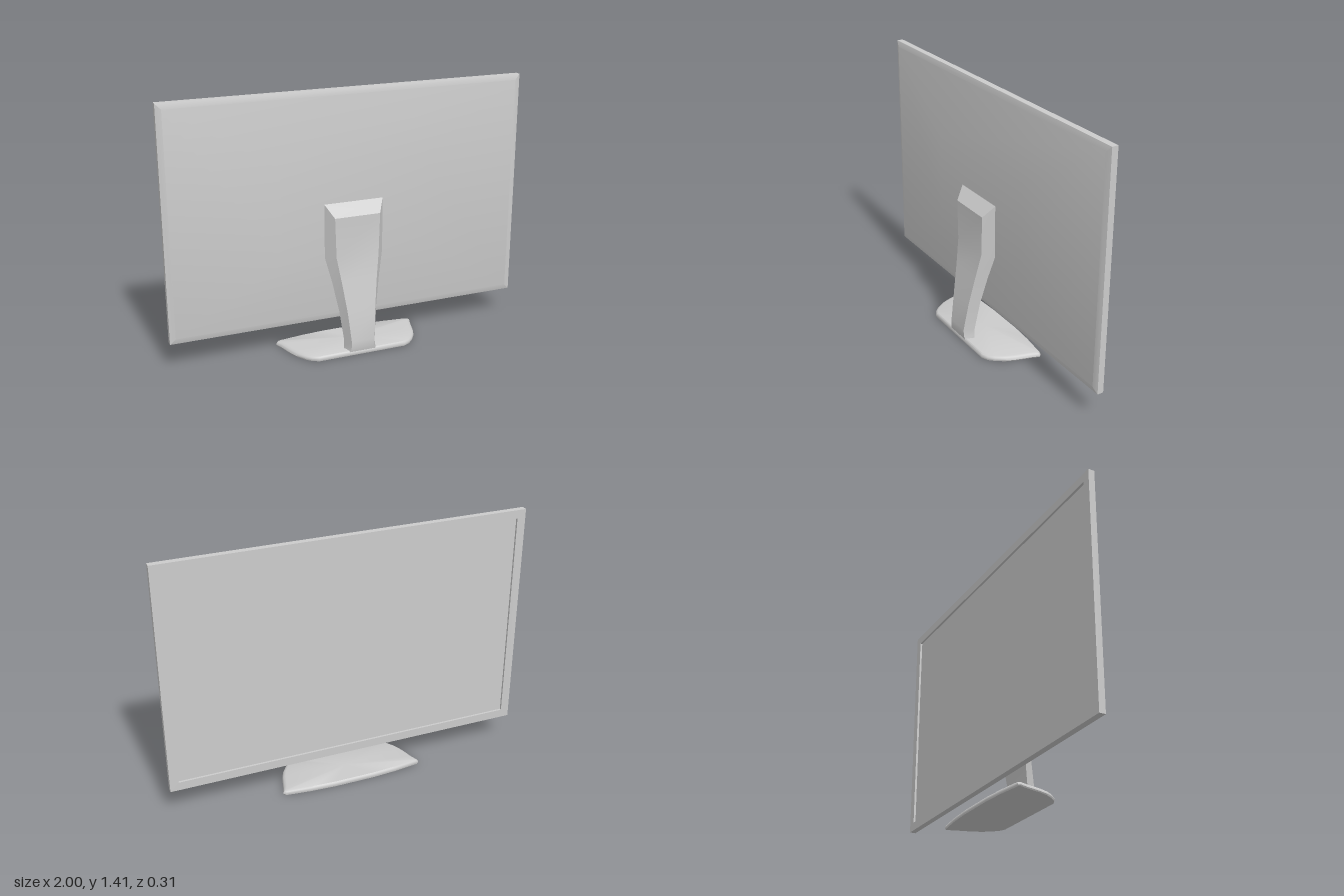
import * as THREE from 'three';
import { toCreasedNormals } from 'three/addons/utils/BufferGeometryUtils.js';

const material = new THREE.MeshStandardMaterial({ color: 0xcccccc });

// Skin through equal-length rings of [x, y, z], closed by a fan at each end.
// Rings run counter-clockwise as seen from the end of the loft.
function loft(rings, crease) {
  const n = rings[0].length;
  const positions = rings.flat(2);
  const index = [];
  for (let r = 0; r < rings.length - 1; r++) {
    for (let i = 0; i < n; i++) {
      const a = r * n + i, b = r * n + (i + 1) % n;
      index.push(a, b, b + n, a, b + n, a + n);
    }
  }
  const addCap = (r, flip) => {
    const centre = positions.length / 3;
    for (let k = 0; k < 3; k++) positions.push(rings[r].reduce((s, p) => s + p[k], 0) / n);
    for (let i = 0; i < n; i++) {
      const a = r * n + i, b = r * n + (i + 1) % n;
      index.push(centre, flip ? b : a, flip ? a : b);
    }
  };
  addCap(0, true);
  addCap(rings.length - 1, false);
  const geometry = new THREE.BufferGeometry();
  geometry.setAttribute('position', new THREE.Float32BufferAttribute(positions, 3));
  geometry.setIndex(index);
  return toCreasedNormals(geometry, crease);
}

export function createModel() {
  const model = new THREE.Group();
  const add = (name, geometry) => {
    const mesh = new THREE.Mesh(geometry, material);
    mesh.name = name;
    model.add(mesh);
    return mesh;
  };

  const bottom = 0.15, top = 1.415, midY = (bottom + top) / 2, height = top - bottom;
  const bezel = 0.047, screenSide = -0.072, shellSide = -0.038;

  // Frame around the screen
  const rect = (Type, hw, hh) => new Type([
    new THREE.Vector2(-hw, -hh), new THREE.Vector2(hw, -hh),
    new THREE.Vector2(hw, hh), new THREE.Vector2(-hw, hh)]);
  const frameShape = rect(THREE.Shape, 1, height / 2);
  frameShape.holes.push(rect(THREE.Path, 1 - bezel, height / 2 - bezel));
  add('bezel', new THREE.ExtrudeGeometry(frameShape, { depth: shellSide - screenSide, bevelEnabled: false }))
    .position.set(0, midY, screenSide);

  // Recessed display surface
  add('screen', new THREE.BoxGeometry(2 - 2 * bezel, height - 2 * bezel, 0.02))
    .position.set(0, midY, -0.05);

  // Tapered housing behind the screen: [half width, low y, high y, z]
  const housing = [
    [1, bottom, top, shellSide],
    [0.97, 0.18, 1.385, -0.029],
    [0.4, 0.53, 1.04, 0.019],
  ].map(([w, lo, hi, z]) => [[-w, lo, z], [w, lo, z], [w, hi, z], [-w, hi, z]]);
  add('housing', loft(housing, 0.4));

  // Neck: [y at rear, y at front, rear half width, front half width, rear z, front z]
  const neck = [
    [0.02, 0.02, 0.09, 0.075, 0.1, 0.15],
    [0.04, 0.04, 0.09, 0.067, 0.1, 0.154],
    [0.08, 0.08, 0.09, 0.066, 0.1, 0.155],
    [0.24, 0.24, 0.108, 0.079, 0.077, 0.13],
    [0.40, 0.40, 0.136, 0.099, 0.046, 0.1],
    [0.53, 0.54, 0.165, 0.12, 0.019, 0.075],
    [0.825, 0.76, 0.165, 0.127, 0.019, 0.075],
  ].map(([yr, yf, wr, wf, zr, zf]) => [[wf, yf, zf], [wr, yr, zr], [-wr, yr, zr], [-wf, yf, zf]]);
  add('neck', loft(neck, 0.35));

  // Foot: half outline [x, z], mirrored, with a rounded upper rim
  const half = [
    [0.25, 0.152], [0.285, 0.135], [0.315, 0.105], [0.345, 0.06], [0.365, 0.01],
    [0.39, -0.08], [0.404, -0.118], [0.395, -0.129], [0.25, -0.147], [0.12, -0.155],
  ];
  const outline = [...half, ...half.map(([x, z]) => [-x, z]).reverse()];
  const foot = [[0, 0.99], [0.006, 1], [0.014, 0.995], [0.021, 0.98], [0.026, 0.945]]
    .map(([y, s]) => outline.map(([x, z]) => [x * s, y, z * s]));
  add('foot', loft(foot, 0.7));

  return model;
}
